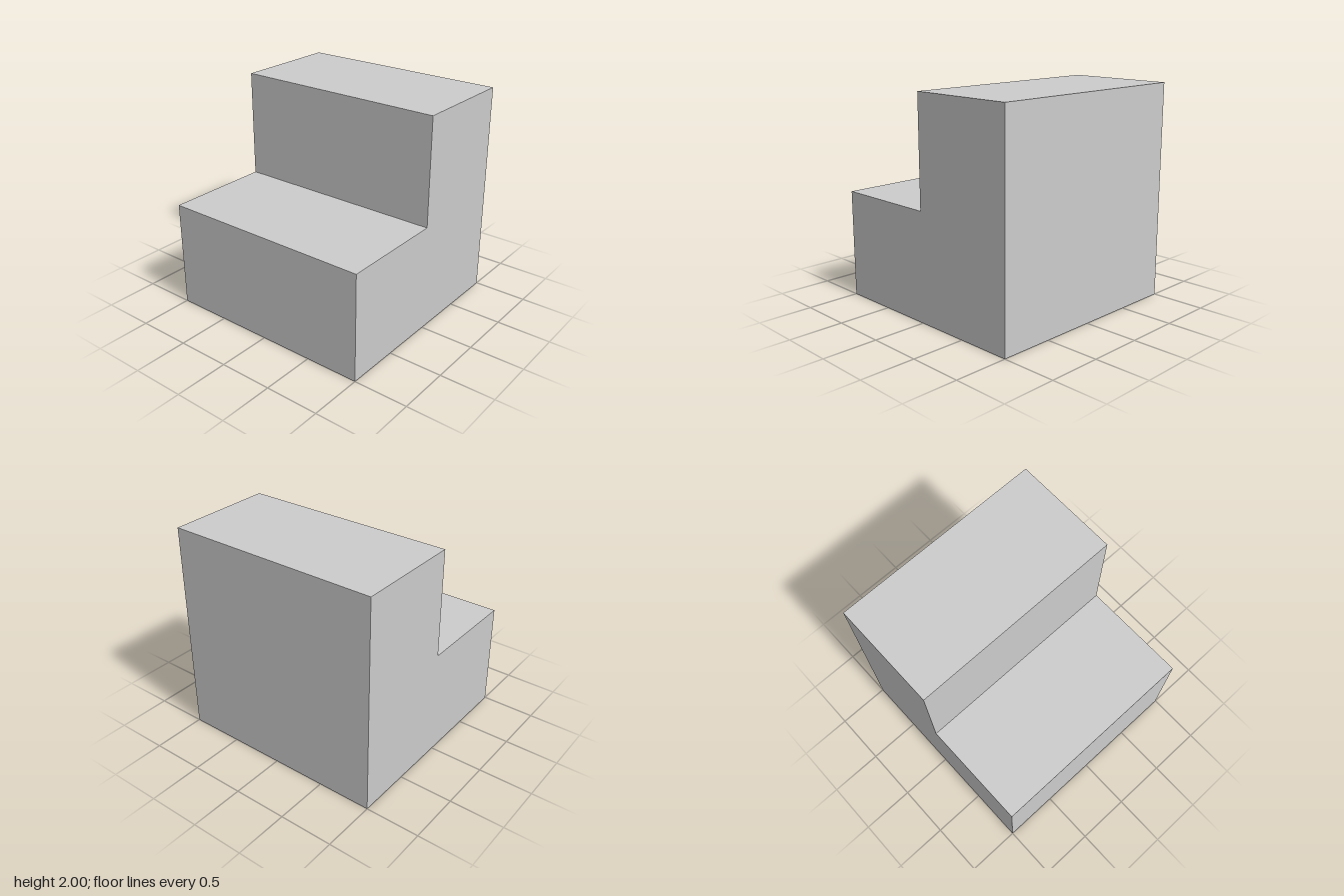
import * as THREE from 'three';

export function createModel() {
  const group = new THREE.Group();
  group.name = 'stepBlock';

  // L-shaped side profile: low step on -x, high step on +x
  const profile = new THREE.Shape(
    [[-1, 0], [1, 0], [1, 2], [0, 2], [0, 1], [-1, 1]].map(([x, y]) => new THREE.Vector2(x, y))
  );

  // Solid two-step stair, extruded along z and centred
  const geometry = new THREE.ExtrudeGeometry(profile, { depth: 2, bevelEnabled: false });
  geometry.translate(0, 0, -1);

  const steps = new THREE.Mesh(
    geometry,
    new THREE.MeshStandardMaterial({ color: 0xcccccc, flatShading: true })
  );
  steps.name = 'steps';
  group.add(steps);
  return group;
}
